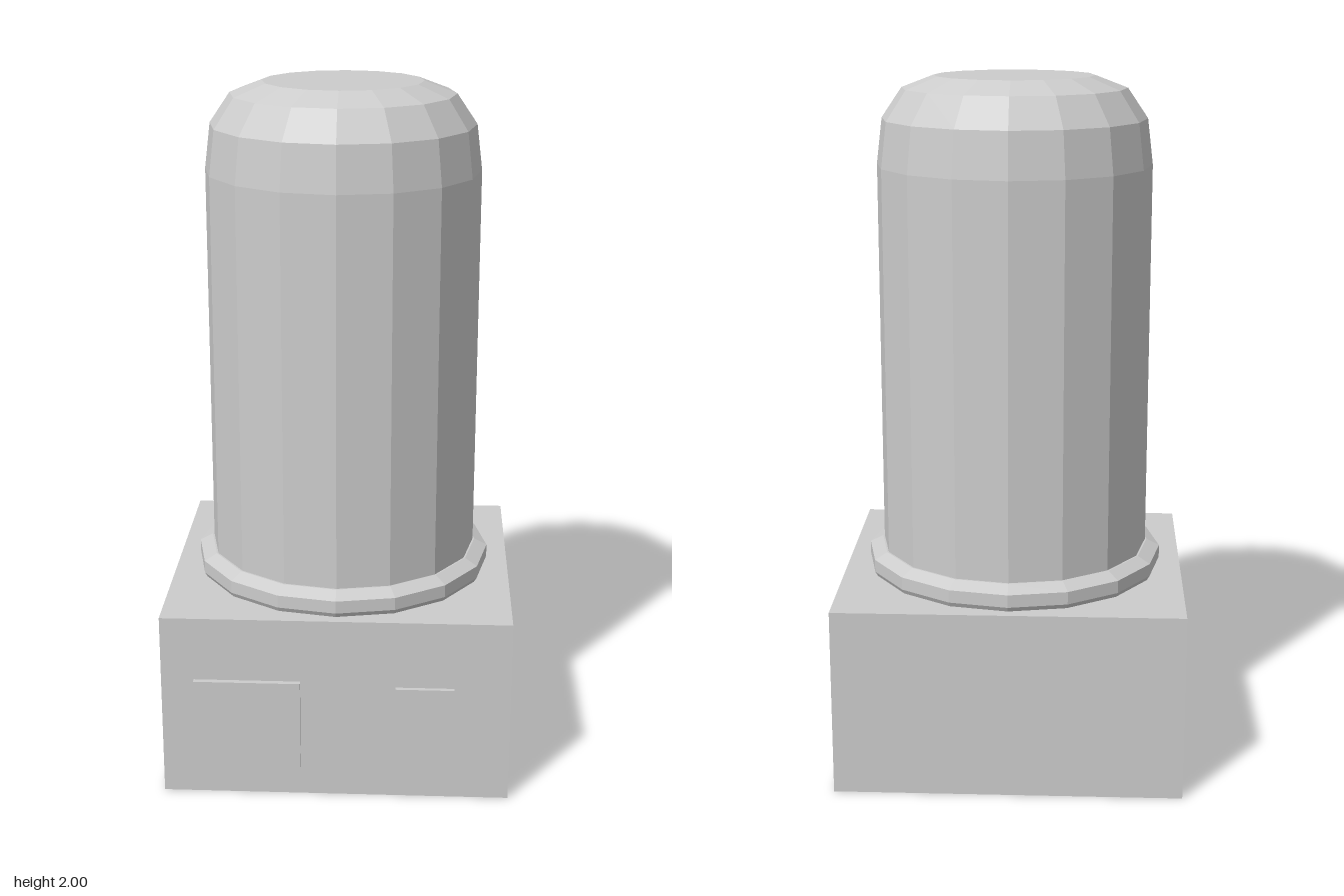
import * as THREE from 'three';

const SIDES = 16;
const AXIS_Z = -0.012;

export function createModel() {
  const model = new THREE.Group();
  const grey = new THREE.MeshStandardMaterial({ color: 0xcccccc });
  grey.name = 'light grey';

  function add(name, geometry, x, y, z) {
    const mesh = new THREE.Mesh(geometry, grey);
    mesh.name = name;
    mesh.position.set(x, y, z);
    model.add(mesh);
  }

  // Box given by its lowest and highest corners
  function addBox(name, [x0, y0, z0], [x1, y1, z1]) {
    add(name, new THREE.BoxGeometry(x1 - x0, y1 - y0, z1 - z0),
      (x0 + x1) / 2, (y0 + y1) / 2, (z0 + z1) / 2);
  }

  // Faceted turned part from [radius, height] pairs, bottom to top
  function addTurned(name, profile) {
    const points = profile.map(([r, y]) => new THREE.Vector2(r, y));
    const geometry = new THREE.LatheGeometry(points, SIDES).toNonIndexed();
    geometry.computeVertexNormals();
    add(name, geometry, 0, 0, AXIS_Z);
  }

  // Square base
  addBox('base', [-0.5, 0, -0.472], [0.5, 0.55, 0.448]);

  // Two thin plates on the front, standing just off the base
  addBox('largeFrontPlate', [-0.405, 0.09, 0.453], [-0.1, 0.363, 0.469]);
  addBox('smallFrontPlate', [0.172, 0.11, 0.451], [0.34, 0.35, 0.464]);

  // Bevelled collar
  addTurned('collar', [
    [0, 0.551], [0.43, 0.551], [0.438, 0.565], [0.438, 0.602],
    [0.4, 0.622], [0.385, 0.622],
  ]);

  // Tall column with a rounded shoulder and flat top
  addTurned('column', [
    [0, 0.56], [0.395, 0.56], [0.395, 1.75], [0.379, 1.88],
    [0.321, 1.965], [0.229, 2], [0, 2],
  ]);

  return model;
}
